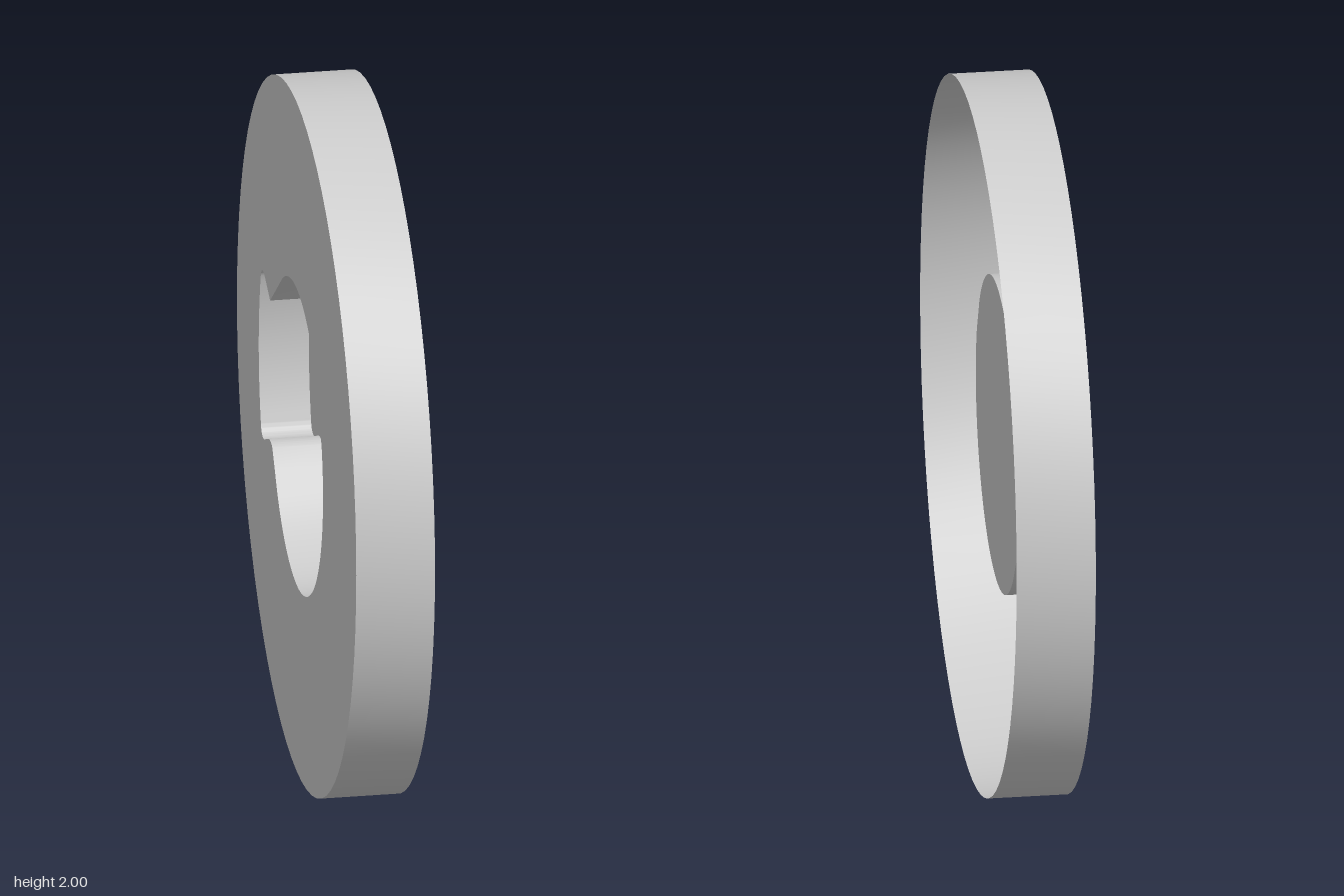
import * as THREE from 'three';
import { toCreasedNormals } from 'three/addons/utils/BufferGeometryUtils.js';

const BACK = -0.11, FRONT = 0.11, CAP = 0.03;
const rad = THREE.MathUtils.degToRad;

// Keyed outline: round body with a flared tab on one side
function keyedOutline(PathType) {
  const p = new PathType();
  const R = 0.443;
  p.absarc(0, 0, R, rad(57), rad(146), false);
  p.absarc(0, 0, R, rad(162), rad(325), false);
  p.lineTo(0.405, -0.205);
  p.quadraticCurveTo(0.425, -0.19, 0.465, -0.2);
  p.lineTo(0.545, -0.235);
  p.quadraticCurveTo(0.59, -0.245, 0.6, -0.205);
  p.quadraticCurveTo(0.67, 0.01, 0.6, 0.233);
  p.quadraticCurveTo(0.585, 0.268, 0.54, 0.259);
  p.lineTo(0.444, 0.222);
  p.closePath();
  return p;
}

// Open wall following an outline between two depths
function wallGeometry(points, z0, z1) {
  const pos = [];
  const n = points.length;
  for (let i = 0; i < n; i++) {
    const a = points[i], b = points[(i + 1) % n];
    if (a.distanceTo(b) < 1e-5) continue;
    pos.push(a.x, a.y, z0, b.x, b.y, z0, b.x, b.y, z1);
    pos.push(a.x, a.y, z0, b.x, b.y, z1, a.x, a.y, z1);
  }
  const g = new THREE.BufferGeometry();
  g.setAttribute('position', new THREE.Float32BufferAttribute(pos, 3));
  return toCreasedNormals(g, rad(25));
}

export function createModel() {
  const model = new THREE.Group();
  const material = new THREE.MeshStandardMaterial({ color: 0xcccccc, side: THREE.DoubleSide });

  const add = (name, geometry) => {
    geometry.rotateY(Math.PI / 2); // outline plane becomes the side plane, depth runs along x
    geometry.translate(0, 1, 0);
    const mesh = new THREE.Mesh(geometry, material);
    mesh.name = name;
    model.add(mesh);
  };

  const disc = new THREE.Shape().absarc(0, 0, 1, 0, Math.PI * 2, false);
  const key = keyedOutline(THREE.Shape);

  // Thin outer rim
  add('rim', wallGeometry(disc.getPoints(36), BACK, FRONT));

  // Back plate with the keyed opening
  disc.holes.push(keyedOutline(THREE.Path));
  add('backPlate', new THREE.ShapeGeometry(disc, 36).translate(0, 0, BACK));

  // Raised keyed boss, hollow from behind
  add('bossWall', wallGeometry(key.getPoints(24), BACK, CAP));
  add('bossCap', new THREE.ShapeGeometry(key, 24).translate(0, 0, CAP));

  return model;
}
